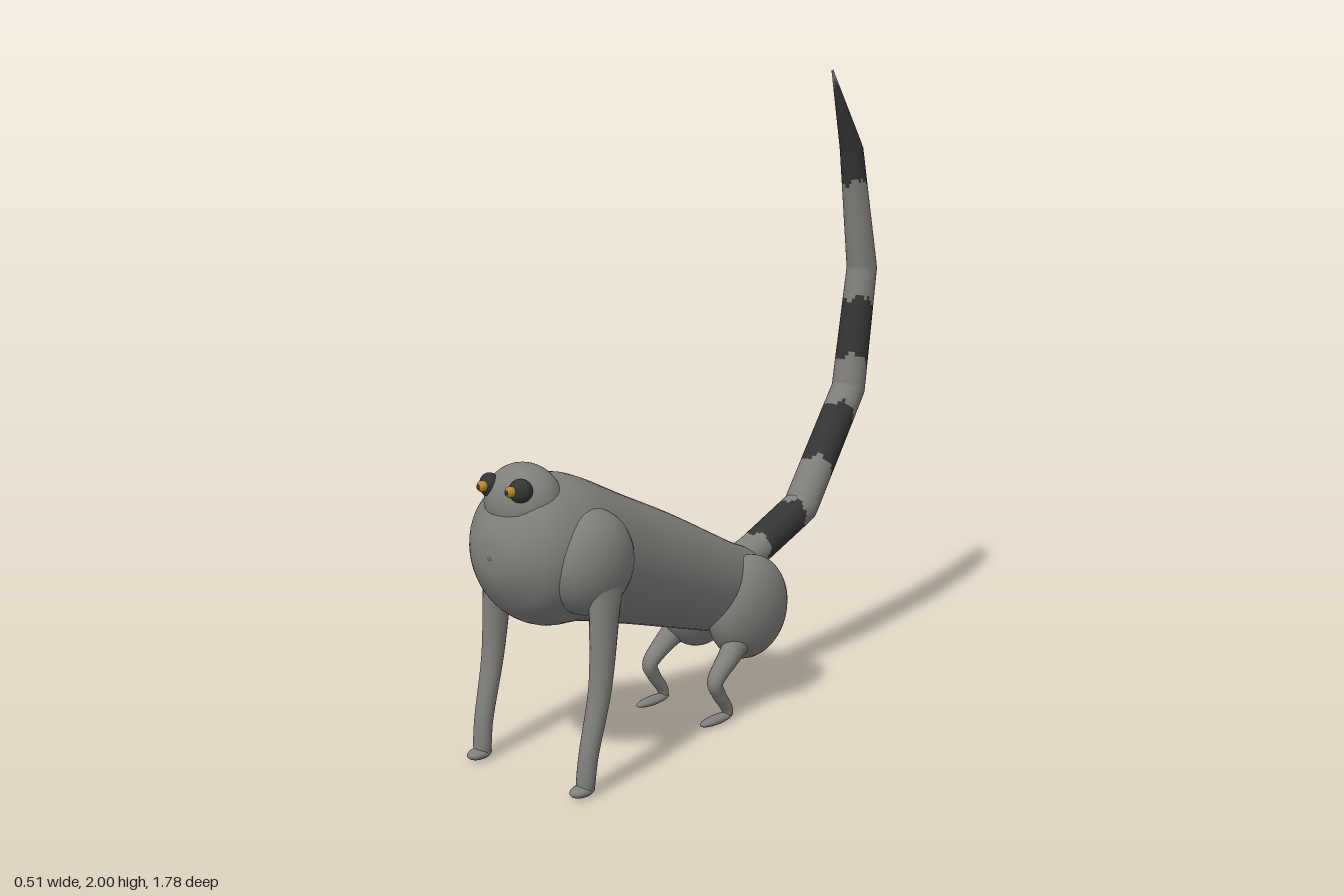
import * as THREE from 'three';

const mat = (name, color) => {
  const m = new THREE.MeshStandardMaterial({ color });
  m.name = name;
  return m;
};

// Sweep elliptical rings along stations [x, y, z, rx, ry]; isDark(s, angle) picks the second material
function sweep(stations, { steps = 48, sides = 28, smooth = true, upright = false, isDark = null } = {}) {
  const vecs = stations.map(p => new THREE.Vector3(p[0], p[1], p[2]));
  const radii = stations.map(p => new THREE.Vector3(p[3], p[4], 0));
  const n = stations.length - 1;
  const centreCurve = new THREE.CatmullRomCurve3(vecs, false, 'catmullrom', 0.5);
  const radiusCurve = new THREE.CatmullRomCurve3(radii, false, 'catmullrom', 0.5);
  const sample = (list, curve, t) => {
    t = Math.min(1, Math.max(0, t));
    if (smooth) return curve.getPoint(t);
    const i = Math.min(n - 1, Math.floor(t * n));
    return list[i].clone().lerp(list[i + 1], t * n - i);
  };
  const side = new THREE.Vector3(1, 0, 0);
  const pos = [], light = [], dark = [];
  let length = 0, previous = null;
  for (let i = 0; i <= steps; i++) {
    const t = i / steps;
    const c = sample(vecs, centreCurve, t), r = sample(radii, radiusCurve, t);
    if (previous) length += c.distanceTo(previous);
    previous = c;
    const tangent = sample(vecs, centreCurve, t + 0.012).sub(sample(vecs, centreCurve, t - 0.012));
    tangent.x = 0;
    const normal = upright ? new THREE.Vector3(0, -1, 0) : tangent.cross(side).normalize();
    for (let j = 0; j < sides; j++) {
      const a = j / sides * Math.PI * 2;
      const rx = Math.max(r.x, 0.002), ry = Math.max(r.y, 0.002);
      const p = c.clone().addScaledVector(side, rx * Math.cos(a)).addScaledVector(normal, ry * Math.sin(a));
      pos.push(p.x, p.y, p.z);
      if (i === 0) continue;
      const k = (j + 1) % sides, lo = (i - 1) * sides, hi = i * sides;
      const target = isDark && isDark(length, a) ? dark : light;
      target.push(lo + j, lo + k, hi + k, lo + j, hi + k, hi + j);
    }
  }
  const g = new THREE.BufferGeometry();
  g.setAttribute('position', new THREE.Float32BufferAttribute(pos, 3));
  g.setIndex(light.concat(dark));
  if (isDark) {
    g.addGroup(0, light.length, 0);
    g.addGroup(light.length, dark.length, 1);
  }
  g.computeVertexNormals();
  return g;
}

export function createModel() {
  const model = new THREE.Group();
  const fur = mat('grey fur', 0x817f7c);
  const darkFur = mat('dark fur', 0x343434);
  const amber = mat('amber eye', 0xb8892a);

  const add = (name, geometry, material, parent = model) => {
    const mesh = new THREE.Mesh(geometry, material);
    mesh.name = name;
    parent.add(mesh);
    return mesh;
  };
  const ellipsoid = (name, material, [x, y, z], [rx, ry, rz], parent) => {
    const mesh = add(name, new THREE.SphereGeometry(1, 32, 22), material, parent);
    mesh.position.set(x, y, z);
    mesh.scale.set(rx, ry, rz);
    return mesh;
  };

  // Body sections: z, top, bottom, half width
  const body = [
    [0.89, 0.67, 0.66, 0.005], [0.88, 0.73, 0.60, 0.07], [0.85, 0.79, 0.54, 0.125],
    [0.80, 0.85, 0.48, 0.175], [0.72, 0.87, 0.44, 0.2], [0.60, 0.855, 0.425, 0.2],
    [0.40, 0.765, 0.37, 0.18], [0.20, 0.675, 0.31, 0.165], [0.00, 0.575, 0.25, 0.15],
    [-0.10, 0.525, 0.22, 0.135], [-0.20, 0.48, 0.27, 0.10], [-0.255, 0.43, 0.36, 0.04],
    [-0.265, 0.40, 0.39, 0.003],
  ].map(([z, top, bottom, rx]) => [0, (top + bottom) / 2, z, rx, (top - bottom) / 2]);
  add('body', sweep(body, { steps: 84, sides: 40, upright: true }), fur);
  ellipsoid('head', fur, [0, 0.8, 0.76], [0.12, 0.11, 0.1]);

  // Ringed tail with ragged band edges
  const bands = [[0.19, 0.39], [0.60, 0.81], [1.0, 1.2], [1.61, 1.95]];
  const tail = [
    [0, 0.40, -0.10, 0.06, 0.07], [0, 0.46, -0.25, 0.058, 0.055], [0, 0.56, -0.50, 0.059, 0.058],
    [0, 0.93, -0.765, 0.057, 0.057], [0, 1.34, -0.835, 0.052, 0.051], [0, 1.74, -0.765, 0.039, 0.04],
    [0, 2.0, -0.65, 0.003, 0.003],
  ];
  add('tail', sweep(tail, {
    steps: 180, sides: 32, smooth: false,
    isDark: (s, a) => {
      const e = s + 0.012 * Math.sin(3 * a + 1) + 0.008 * Math.sin(7 * a);
      return bands.some(([from, to]) => e > from && e < to);
    },
  }), [fur, darkFur]);

  for (const [label, s] of [['left', 1], ['right', -1]]) {
    const half = new THREE.Group();
    half.name = label + 'Side';
    model.add(half);

    // Shoulder and long straight foreleg
    ellipsoid(label + 'Shoulder', fur, [s * 0.145, 0.635, 0.655], [0.108, 0.15, 0.145], half);
    add(label + 'Foreleg', sweep([
      [s * 0.205, 0.62, 0.65, 0.035, 0.07], [s * 0.215, 0.5, 0.668, 0.034, 0.05],
      [s * 0.218, 0.3, 0.69, 0.032, 0.034], [s * 0.214, 0.12, 0.733, 0.028, 0.028],
      [s * 0.211, 0.03, 0.745, 0.027, 0.026], [s * 0.211, 0.012, 0.747, 0.02, 0.018],
    ], { sides: 20 }), fur, half);
    ellipsoid(label + 'Forefoot', fur, [s * 0.21, 0.017, 0.757], [0.027, 0.017, 0.042], half);

    // Rounded haunch, bent hind leg and long foot
    ellipsoid(label + 'Haunch', fur, [s * 0.098, 0.325, -0.1], [0.098, 0.165, 0.163], half);
    add(label + 'HindLeg', sweep([
      [s * 0.12, 0.24, -0.03, 0.04, 0.05], [s * 0.13, 0.195, 0.035, 0.034, 0.034],
      [s * 0.135, 0.14, 0.1, 0.026, 0.025], [s * 0.135, 0.095, 0.085, 0.022, 0.021],
      [s * 0.134, 0.045, 0.048, 0.02, 0.018], [s * 0.134, 0.02, 0.04, 0.018, 0.014],
    ], { sides: 20 }), fur, half);
    ellipsoid(label + 'HindFoot', fur, [s * 0.132, 0.014, 0.092], [0.022, 0.014, 0.074], half);

    // Eye set in a dark patch
    const patch = ellipsoid(label + 'EyePatch', darkFur, [s * 0.062, 0.85, 0.828], [0.034, 0.034, 0.028], half);
    patch.rotation.y = s * 0.35;
    ellipsoid(label + 'Eye', amber, [s * 0.056, 0.852, 0.86], [0.016, 0.016, 0.016], half);
    ellipsoid(label + 'Pupil', darkFur, [s * 0.056, 0.852, 0.874], [0.006, 0.007, 0.004], half);
  }
  return model;
}
